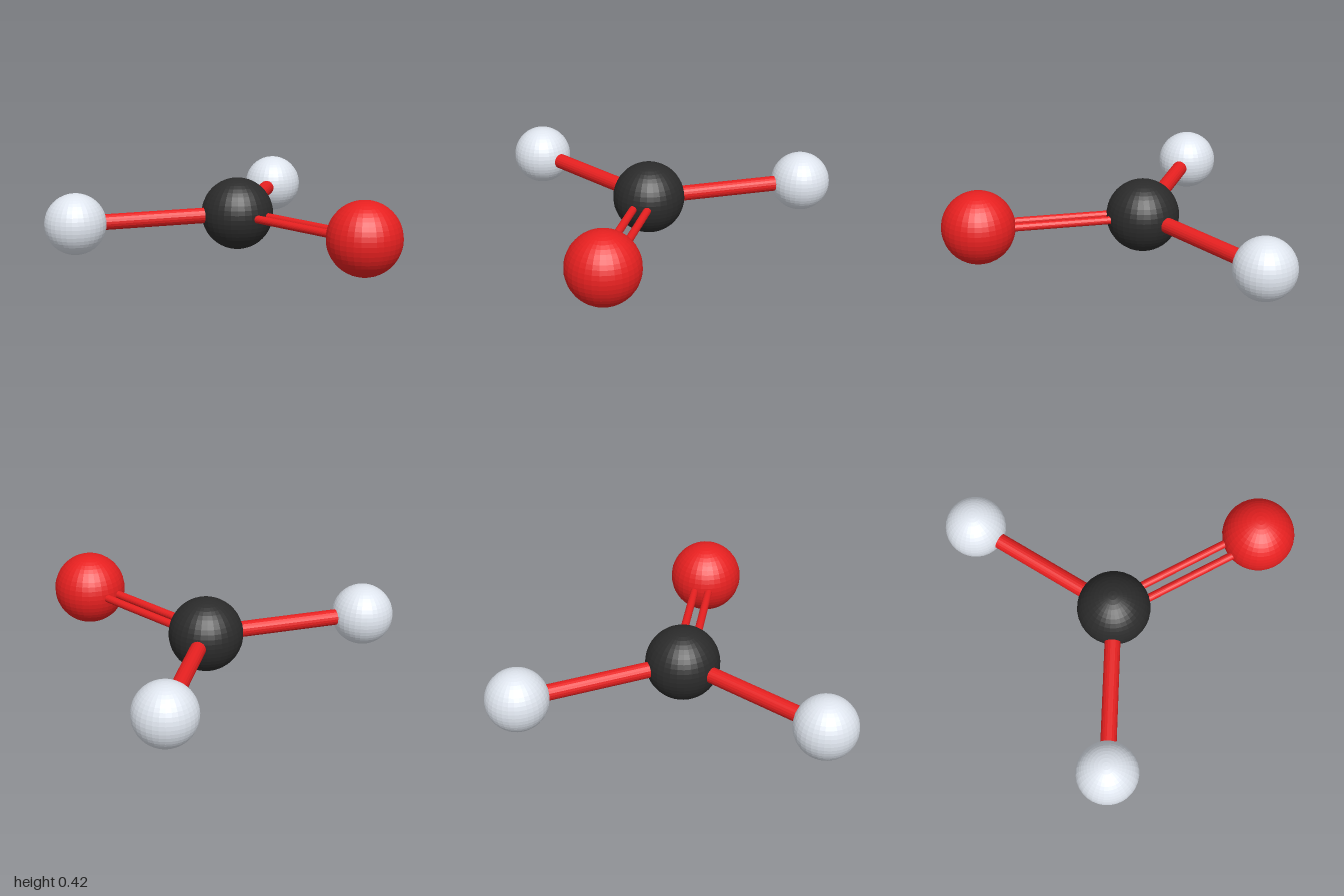
import * as THREE from 'three';

const RED = 0xe82020, BLACK = 0x2b2b2b, WHITE = 0xdfe5ee;

const material = (color) => new THREE.MeshStandardMaterial({ color, flatShading: true });

function atom(name, position, radius, color) {
  const mesh = new THREE.Mesh(new THREE.SphereGeometry(radius, 32, 24), material(color));
  mesh.name = name;
  mesh.position.copy(position);
  return mesh;
}

// Rod running between two points
function bond(name, from, to, radius) {
  const along = to.clone().sub(from);
  const mesh = new THREE.Mesh(new THREE.CylinderGeometry(radius, radius, along.length(), 20), material(RED));
  mesh.name = name;
  mesh.position.copy(from).addScaledVector(along, 0.5);
  mesh.quaternion.setFromUnitVectors(new THREE.Vector3(0, 1, 0), along.normalize());
  return mesh;
}

export function createModel() {
  const model = new THREE.Group();
  model.name = 'molecule';

  const y = 0.21;
  const carbon = new THREE.Vector3(-0.26, y, 0);
  const oxygen = new THREE.Vector3(0.69, y, 0);

  // Central and double-bonded atoms
  model.add(atom('carbonAtom', carbon, 0.21, BLACK));
  model.add(atom('oxygenAtom', oxygen, 0.21, RED));

  for (const [side, s] of [['Front', 1], ['Back', -1]]) {
    // Hydrogen atoms at 120 degrees with their single bonds
    const hydrogen = new THREE.Vector3(-0.735, y, s * 0.825);
    model.add(atom('hydrogenAtom' + side, hydrogen, 0.175, WHITE));
    model.add(bond('singleBond' + side, carbon, hydrogen, 0.045));

    // One rod of the double bond
    const offset = new THREE.Vector3(0, 0, s * 0.042);
    model.add(bond('doubleBond' + side, carbon.clone().add(offset), oxygen.clone().add(offset), 0.023));
  }
  return model;
}
